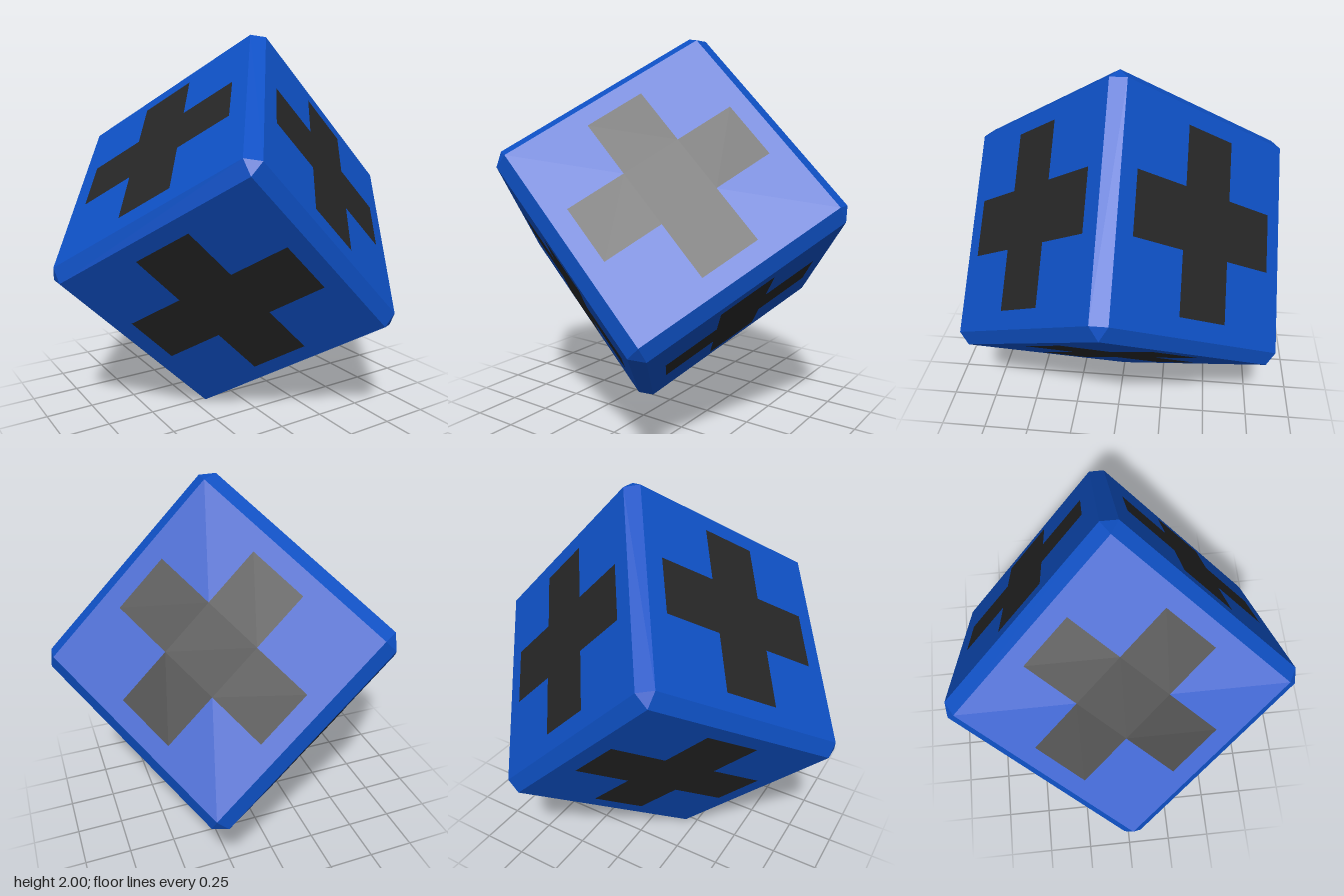
import * as THREE from 'three';
import { ConvexGeometry } from 'three/addons/geometries/ConvexGeometry.js';

const HALF = 0.621;   // half the cube's side
const BEVEL = 0.06;   // chamfer along edges and corners
const REACH = 0.466;  // half the length of a cross arm
const ARM = 0.155;    // half the width of a cross arm

// Cube with flat chamfered edges and triangular corners
function chamferedCube() {
  const points = [];
  const inner = HALF - BEVEL;
  for (const x of [-1, 1]) for (const y of [-1, 1]) for (const z of [-1, 1]) {
    for (let axis = 0; axis < 3; axis++) {
      const p = new THREE.Vector3(x, y, z).multiplyScalar(inner);
      p.setComponent(axis, Math.sign(p.getComponent(axis)) * HALF);
      points.push(p);
    }
  }
  return new ConvexGeometry(points);
}

// Flat plus sign, drawn one quarter at a time
function crossGeometry() {
  const points = [];
  for (let i = 0; i < 4; i++) {
    for (const [x, y] of [[REACH, -ARM], [REACH, ARM], [ARM, ARM]]) {
      points.push(new THREE.Vector2(x, y).rotateAround(new THREE.Vector2(), i * Math.PI / 2));
    }
  }
  return new THREE.ShapeGeometry(new THREE.Shape(points));
}

export function createModel() {
  const blue = new THREE.MeshStandardMaterial({ color: 0x0e50c4 });
  blue.name = 'blue';
  const black = new THREE.MeshStandardMaterial({ color: 0x262626 });
  black.name = 'black';

  const cube = new THREE.Group();
  cube.name = 'cube';
  const body = new THREE.Mesh(chamferedCube(), blue);
  body.name = 'cubeBody';
  cube.add(body);

  // One cross on each of the six faces
  const cross = crossGeometry();
  const forward = new THREE.Vector3(0, 0, 1);
  for (let axis = 0; axis < 3; axis++) {
    for (const side of [-1, 1]) {
      const normal = new THREE.Vector3().setComponent(axis, side);
      const mesh = new THREE.Mesh(cross, black);
      mesh.name = 'faceCross';
      mesh.quaternion.setFromUnitVectors(forward, normal);
      mesh.position.copy(normal).multiplyScalar(HALF + 0.002);
      cube.add(mesh);
    }
  }

  // Tilt the cube: an eighth turn about its own axis, then an eighth turn sideways
  const r = Math.SQRT1_2;
  const tilt = new THREE.Matrix4().makeBasis(
    new THREE.Vector3(r, -r, 0),
    new THREE.Vector3(0.5, 0.5, r),
    new THREE.Vector3(-0.5, -0.5, r)
  );
  cube.quaternion.setFromRotationMatrix(tilt);
  cube.position.y = 1;

  const model = new THREE.Group();
  model.name = 'tiltedCube';
  model.add(cube);
  return model;
}
